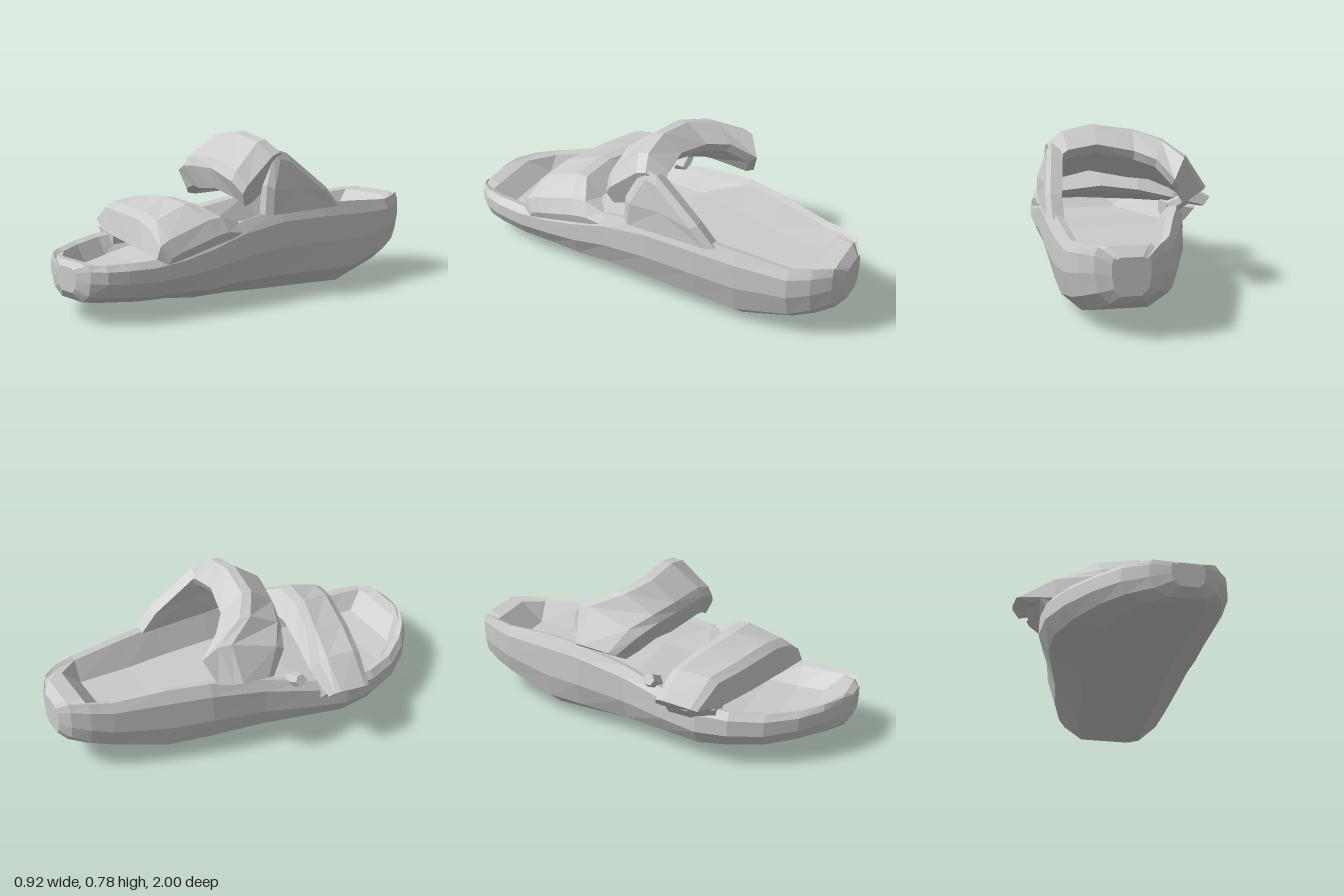
import * as THREE from 'three';

const material = new THREE.MeshStandardMaterial({ color: 0xcccccc, flatShading: true });

// Skin a list of closed rings of [x, y, z] points, with fan caps on both ends.
function loft(name, rings) {
  const n = rings[0].length, last = rings.length - 1, pos = rings.flat(2), idx = [];
  for (let i = 0; i < last; i++) {
    for (let j = 0; j < n; j++) {
      const a = i * n + j, b = i * n + (j + 1) % n;
      idx.push(a, b, a + n, b, b + n, a + n);
    }
  }
  for (const end of [0, last]) {
    const c = pos.length / 3;
    pos.push(...[0, 1, 2].map(k => rings[end].reduce((s, p) => s + p[k], 0) / n));
    for (let j = 0; j < n; j++) {
      const a = end * n + j, b = end * n + (j + 1) % n;
      if (end) idx.push(a, b, c); else idx.push(b, a, c);
    }
  }
  // Turn the faces outward if the enclosed volume is negative.
  const v = i => new THREE.Vector3(pos[i * 3], pos[i * 3 + 1], pos[i * 3 + 2]);
  let volume = 0;
  for (let i = 0; i < idx.length; i += 3) volume += v(idx[i]).dot(v(idx[i + 1]).cross(v(idx[i + 2])));
  if (volume < 0) idx.reverse();
  const g = new THREE.BufferGeometry();
  g.setAttribute('position', new THREE.Float32BufferAttribute(pos, 3));
  g.setIndex(idx);
  g.computeVertexNormals();
  const mesh = new THREE.Mesh(g, material);
  mesh.name = name;
  return mesh;
}

// Strap section: four corners, each cut by a chamfer.
function chamfer(corners, t = 0.15) {
  const mix = (a, b) => a.map((q, k) => q + (b[k] - q) * t);
  return corners.flatMap((p, i) => [mix(p, corners[(i + 3) % 4]), mix(p, corners[(i + 1) % 4])]);
}

// Sole section across the foot: rounded underside, side walls, rim and sunken footbed.
function soleRing([z, xl, xr, bottom, rimL, rimR, floor]) {
  const w = xr - xl, m = Math.min(0.13, w * 0.22);
  const X = t => xl + w * t;
  const L = t => bottom + (rimL - bottom) * t, R = t => bottom + (rimR - bottom) * t;
  return [
    [X(0.25), bottom, z], [X(0.78), bottom, z],
    [X(0.94), R(0.2), z], [X(1), R(0.55), z], [X(0.995), R(0.85), z],
    [xr - m * 0.25, rimR, z], [xr - m * 0.5, rimR - 0.01, z], [xr - m, floor, z],
    [xl + m, floor, z], [xl + m * 0.55, rimL - 0.01, z], [xl + m * 0.25, rimL, z],
    [X(0.005), L(0.85), z], [X(0), L(0.5), z], [X(0.06), L(0.2), z],
  ];
}

export function createModel() {
  const model = new THREE.Group();
  model.name = 'sandal';

  // Sole: z, left x, right x, bottom, left rim, right rim, footbed height
  model.add(loft('sole', [
    [-1.0, 0.09, 0.26, 0.20, 0.37, 0.37, 0.37],
    [-0.96, 0.03, 0.33, 0.16, 0.41, 0.41, 0.41],
    [-0.88, -0.02, 0.39, 0.12, 0.41, 0.41, 0.40],
    [-0.78, -0.06, 0.43, 0.08, 0.40, 0.40, 0.29],
    [-0.52, -0.14, 0.45, 0.00, 0.42, 0.42, 0.28],
    [-0.32, -0.20, 0.455, 0.01, 0.42, 0.43, 0.28],
    [-0.05, -0.25, 0.45, 0.02, 0.37, 0.43, 0.28],
    [0.18, -0.31, 0.44, 0.03, 0.31, 0.39, 0.25],
    [0.36, -0.355, 0.435, 0.03, 0.28, 0.33, 0.21],
    [0.52, -0.35, 0.43, 0.05, 0.27, 0.29, 0.18],
    [0.68, -0.29, 0.425, 0.06, 0.26, 0.27, 0.17],
    [0.82, -0.19, 0.41, 0.08, 0.26, 0.27, 0.18],
    [0.91, -0.09, 0.38, 0.09, 0.27, 0.27, 0.26],
    [0.97, 0.02, 0.33, 0.10, 0.27, 0.27, 0.27],
    [1.0, 0.11, 0.26, 0.14, 0.25, 0.25, 0.25],
  ].map(soleRing)));

  // Instep strap: outer front, outer back, inner back, inner front of each section
  model.add(loft('instepStrap', [
    [[-0.33, 0.47, -0.06], [-0.33, 0.50, -0.26], [-0.20, 0.43, -0.31], [-0.25, 0.42, -0.02]],
    [[-0.27, 0.57, 0.04], [-0.22, 0.67, -0.28], [-0.14, 0.54, -0.36], [-0.20, 0.44, 0.02]],
    [[-0.15, 0.61, 0.10], [-0.14, 0.73, -0.11], [-0.08, 0.62, -0.26], [-0.10, 0.47, 0.06]],
    [[-0.01, 0.63, 0.15], [-0.01, 0.77, -0.02], [0.01, 0.65, -0.18], [0.00, 0.47, 0.10]],
    [[0.20, 0.64, 0.20], [0.19, 0.80, 0.00], [0.18, 0.68, -0.13], [0.19, 0.50, 0.16]],
    [[0.35, 0.59, 0.20], [0.34, 0.77, 0.00], [0.32, 0.66, -0.14], [0.33, 0.47, 0.15]],
    [[0.41, 0.53, 0.18], [0.42, 0.71, -0.03], [0.38, 0.62, -0.15], [0.38, 0.44, 0.14]],
  ].map(c => chamfer(c))));

  // Side tab joining the instep strap to the rim
  const tab = [[0.06, 0.41], [0.05, 0.55], [-0.03, 0.71], [-0.10, 0.69], [-0.33, 0.51], [-0.42, 0.41]];
  model.add(loft('strapSideTab', [[0.38, 0.94], [0.435, 1], [0.458, 0.85]].map(([x, s]) =>
    tab.map(([z, y]) => [x - Math.max(0, y - 0.55) * 0.25, 0.41 + (y - 0.41) * s, -0.15 + (z + 0.15) * s]))));

  // Toe strap
  model.add(loft('toeStrap', [
    [[-0.465, 0.32, 0.41], [-0.465, 0.35, 0.21], [-0.42, 0.30, 0.19], [-0.40, 0.28, 0.42]],
    [[-0.30, 0.42, 0.45], [-0.30, 0.44, 0.23], [-0.25, 0.34, 0.19], [-0.30, 0.27, 0.49]],
    [[-0.10, 0.43, 0.52], [-0.10, 0.475, 0.29], [-0.08, 0.38, 0.22], [-0.10, 0.27, 0.56]],
    [[0.16, 0.44, 0.59], [0.10, 0.50, 0.36], [0.10, 0.40, 0.25], [0.17, 0.27, 0.64]],
    [[0.29, 0.41, 0.62], [0.28, 0.495, 0.38], [0.30, 0.38, 0.25], [0.30, 0.27, 0.67]],
    [[0.40, 0.34, 0.64], [0.40, 0.43, 0.32], [0.40, 0.38, 0.17], [0.40, 0.26, 0.67]],
    [[0.43, 0.28, 0.60], [0.44, 0.36, 0.30], [0.435, 0.34, 0.18], [0.42, 0.24, 0.62]],
  ].map(c => chamfer(c))));

  // Anchor under the free end of the toe strap
  model.add(loft('toeStrapAnchor', [[0.22, 0.8], [0.34, 1], [0.46, 0.7]].map(([z, s]) =>
    [[-0.42, 0.29], [-0.35, 0.225], [-0.24, 0.22], [-0.24, 0.30]].map(([x, y]) => [-0.24 + (x + 0.24) * s, y, z]))));

  // Small buckle stud on the open side
  const stud = new THREE.Mesh(new THREE.CylinderGeometry(0.03, 0.04, 0.1, 6), material);
  stud.name = 'buckleStud';
  stud.rotation.z = Math.PI / 2 - 0.5;
  stud.position.set(-0.265, 0.34, 0.11);
  model.add(stud);

  return model;
}
